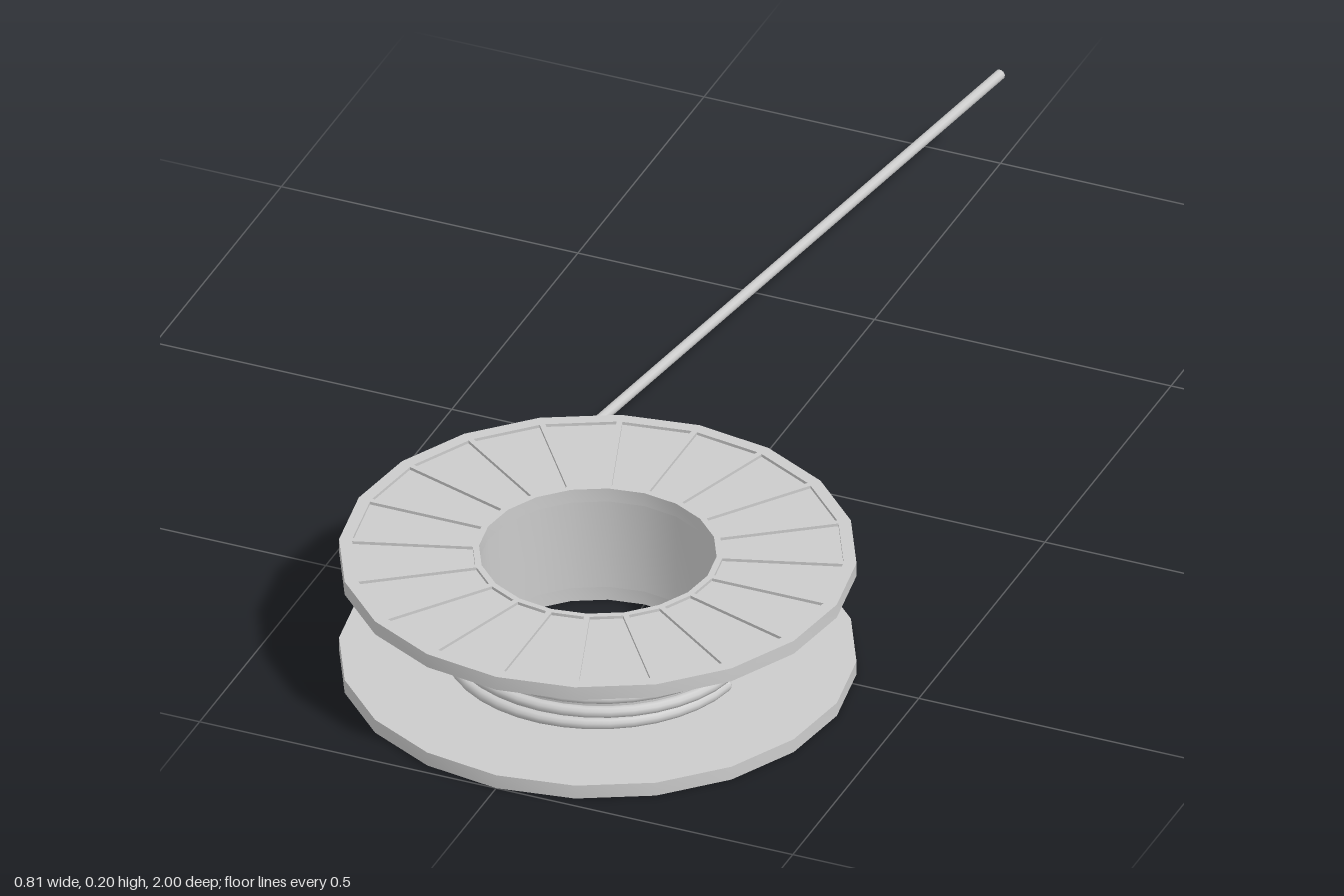
import * as THREE from 'three';
import { toCreasedNormals } from 'three/addons/utils/BufferGeometryUtils.js';

const SIDES = 20, HEIGHT = 0.203, FLANGE = 0.0235, RECESS = 0.005;
const HOLE = 0.185, RIM = 0.403, CENTRE_Z = 0.597;
const COIL = 0.233, WIRE = 0.0095, PITCH = 0.0252, TURNS = 5.5, WIRE_TOP = 0.163;

const grey = new THREE.MeshStandardMaterial({ color: 0xcccccc });

function add(parent, name, geometry) {
  const mesh = new THREE.Mesh(geometry, grey);
  mesh.name = name;
  parent.add(mesh);
  return mesh;
}

// Closed cross-section (radius, height) turned round the axle
function turned(profile) {
  const points = [...profile, profile[0]].map(([r, y]) => new THREE.Vector2(r, y));
  return toCreasedNormals(new THREE.LatheGeometry(points, SIDES), 0.6);
}

// Flange with its recessed, ribbed face at the top
function createFlange(name) {
  const flange = new THREE.Group();
  flange.name = name;
  const h = FLANGE, floor = h - RECESS, inner = HOLE + 0.01, outer = RIM - 0.02;
  add(flange, 'flangeDisc', turned([
    [HOLE, 0], [RIM, 0], [RIM, h], [outer, h],
    [outer, floor], [inner, floor], [inner, h], [HOLE, h],
  ]));
  for (let i = 0; i < SIDES; i++) {
    const a = (i / SIDES) * Math.PI * 2, mid = (inner + outer) / 2;
    const rib = add(flange, 'rib', new THREE.BoxGeometry(0.009, RECESS, outer - inner + 0.004));
    rib.position.set(Math.sin(a) * mid, floor + RECESS / 2, Math.cos(a) * mid);
    rib.rotation.y = a;
  }
  return flange;
}

// Wire wound downwards, starting where the free end leaves the spool
class Winding extends THREE.Curve {
  constructor(start) {
    super();
    this.start = start;
  }
  getPoint(t, target = new THREE.Vector3()) {
    const turn = t * TURNS, a = this.start + turn * Math.PI * 2;
    const y = Math.max(WIRE_TOP - turn * PITCH, FLANGE + WIRE);
    return target.set(Math.sin(a) * COIL, y, Math.cos(a) * COIL);
  }
}

export function createModel() {
  const model = new THREE.Group();
  model.name = 'wireSpool';
  const spool = new THREE.Group();
  spool.name = 'spool';
  spool.position.z = CENTRE_Z;
  model.add(spool);

  // Two matching flanges, the lower one turned over
  const top = createFlange('topFlange');
  top.position.y = HEIGHT - FLANGE;
  const bottom = createFlange('bottomFlange');
  bottom.position.y = FLANGE;
  bottom.rotation.x = Math.PI;
  spool.add(top, bottom);

  // Hollow barrel between the flanges
  const y0 = FLANGE, y1 = HEIGHT - FLANGE;
  add(spool, 'barrel', turned([[HOLE, y0], [0.2, y0], [0.2, y1], [HOLE, y1]]));

  // The free end is tangent to the winding and reaches back to x = 0
  const end = new THREE.Vector3(0, WIRE_TOP, -0.999 - CENTRE_Z);
  const lean = Math.acos(COIL / Math.abs(end.z));
  const startAngle = Math.PI + lean;
  const winding = new Winding(startAngle);
  add(spool, 'woundWire', new THREE.TubeGeometry(winding, 220, WIRE, 10));

  const start = winding.getPoint(0);
  const along = end.clone().sub(start);
  const tail = add(spool, 'looseWire',
    new THREE.CylinderGeometry(WIRE * 0.9, WIRE * 0.9, along.length(), 10));
  tail.position.copy(start).add(end).multiplyScalar(0.5);
  tail.quaternion.setFromUnitVectors(new THREE.Vector3(0, 1, 0), along.normalize());

  // Rounded tip closing the inner end of the winding
  add(spool, 'wireTip', new THREE.SphereGeometry(WIRE, 10, 8)).position.copy(winding.getPoint(1));
  return model;
}
